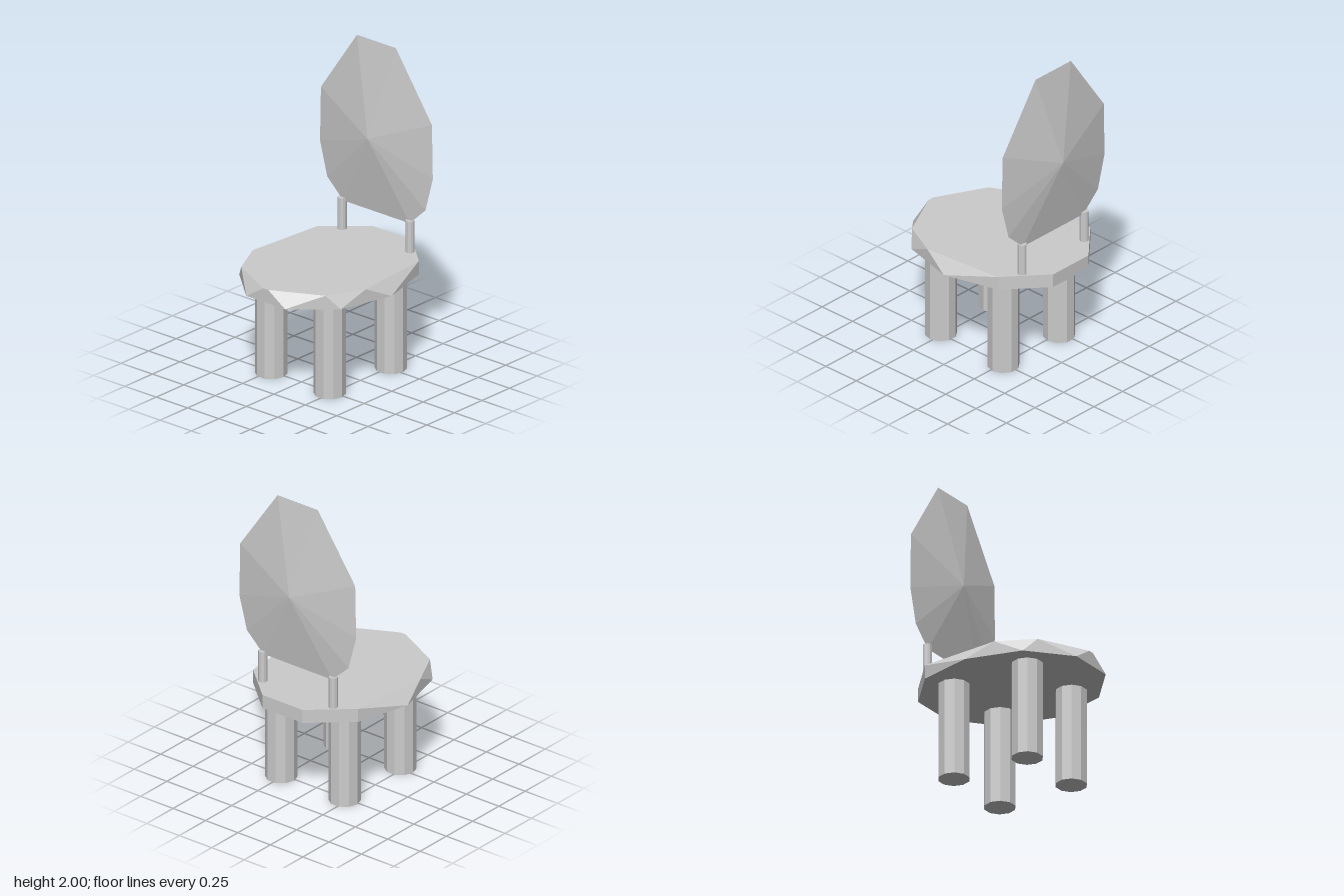
import * as THREE from 'three';
import { ConvexGeometry } from 'three/addons/geometries/ConvexGeometry.js';

const material = new THREE.MeshStandardMaterial({ color: 0xcccccc, flatShading: true });

// Each point of a half outline, followed by its mirror image across x = 0
const mirrored = (half, toPoint) =>
  half.flatMap(([a, b]) => [toPoint(a, b), toPoint(-a, b)]);

export function createModel() {
  const model = new THREE.Group();

  const add = (name, geometry) => {
    const mesh = new THREE.Mesh(geometry, material);
    mesh.name = name;
    model.add(mesh);
    return mesh;
  };

  // Upright ten-sided pole with corners on the x axis
  const pole = (name, radius, bottom, top, x, z) => {
    const geometry = new THREE.CylinderGeometry(radius, radius, top - bottom, 10);
    geometry.rotateY(Math.PI / 2);
    add(name, geometry).position.set(x, (bottom + top) / 2, z);
  };

  // Seat: a stretched decagon slab whose upper corners are chipped off at the sides and front
  const seatBottom = [[0.155, -0.575], [0.405, -0.355], [0.5, 0], [0.405, 0.355], [0.155, 0.575]];
  const seatTop = [[0.155, -0.575], [0.405, -0.355], [0.452, 0.18], [0.335, 0.416], [0.02, 0.575]];
  add('seat', new ConvexGeometry([
    ...mirrored(seatBottom, (x, z) => new THREE.Vector3(x, 0.62, z)),
    ...mirrored(seatTop, (x, z) => new THREE.Vector3(x, 0.708, z)),
  ]));

  // Legs, the left rear one set slightly further out
  pole('frontRightLeg', 0.0975, 0, 0.62, -0.228, 0.267);
  pole('frontLeftLeg', 0.0975, 0, 0.62, 0.24, 0.267);
  pole('backRightLeg', 0.0975, 0, 0.62, -0.228, -0.265);
  pole('backLeftLeg', 0.0975, 0, 0.62, 0.26, -0.265);

  // Posts carrying the backrest
  pole('rightPost', 0.028, 0.7, 0.912, -0.272, -0.428);
  pole('leftPost', 0.028, 0.7, 0.912, 0.27, -0.428);

  // Backrest: a sharp-edged panel rising to a point on both faces
  const backOutline = [[0.155, 2], [0.443, 1.58], [0.45, 1.23], [0.392, 1.01], [0.265, 0.89]];
  add('backrest', new ConvexGeometry([
    ...mirrored(backOutline, (x, y) => new THREE.Vector3(x, y, -0.43)),
    new THREE.Vector3(0, 1.39, -0.348),
    new THREE.Vector3(0, 1.39, -0.512),
  ]));

  return model;
}
